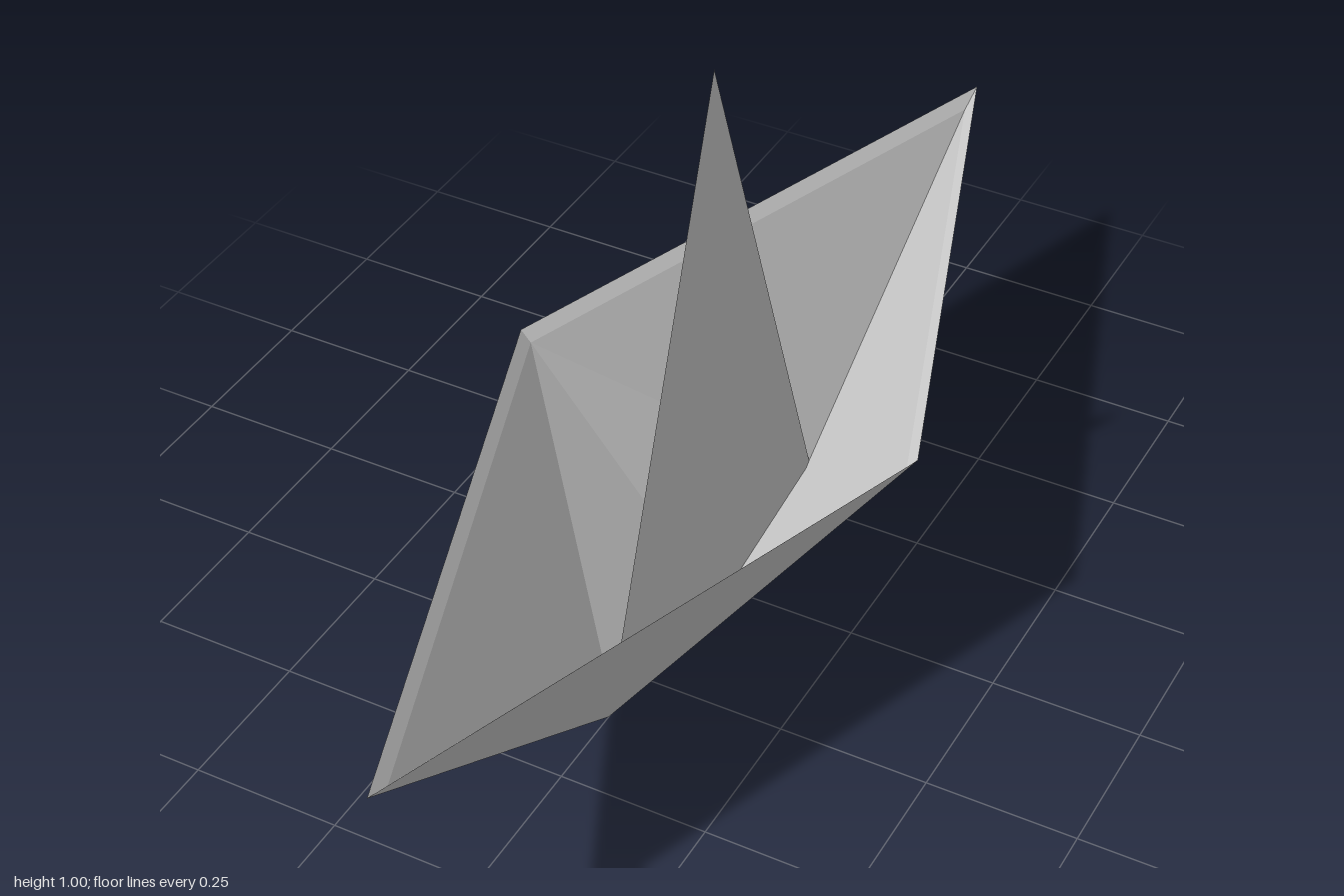
import * as THREE from 'three';

const paper = new THREE.MeshStandardMaterial({ color: 0xcccccc });
paper.name = 'paperGrey';

// Builds a faceted mesh from one quarter (+x, +z), mirrored to the other three.
function mirroredFacets(name, triangles) {
  const positions = [];
  for (const sx of [1, -1]) {
    for (const sz of [1, -1]) {
      for (const [a, b, c] of triangles) {
        const corners = sx * sz > 0 ? [a, b, c] : [a, c, b];
        for (const [x, y, z] of corners) positions.push(x * sx, y, z * sz);
      }
    }
  }
  const geometry = new THREE.BufferGeometry();
  geometry.setAttribute('position', new THREE.Float32BufferAttribute(positions, 3));
  geometry.computeVertexNormals();
  const mesh = new THREE.Mesh(geometry, paper);
  mesh.name = name;
  return mesh;
}

export function createModel() {
  const boat = new THREE.Group();
  boat.name = 'paperBoat';

  // Corners of one quarter of the hull
  const bow = [0, 0.4, 1];
  const side = [0.352, 0.4, 0];
  const keel = [0, 0, 0.352];
  const middle = [0.028, 0, 0];
  const centre = [0, 0, 0];

  // The inside is a slightly smaller copy, its floor just above the bottom
  const inset = ([x, y, z]) => [x * 0.95, Math.max(y * 0.95, 0.003), z * 0.95];
  const [bowIn, sideIn, keelIn, middleIn, centreIn] =
    [bow, side, keel, middle, centre].map(inset);

  // Outer skin: end panel, side gusset, flat bottom
  boat.add(mirroredFacets('hullOutside', [
    [bow, keel, side],
    [keel, middle, side],
    [keel, centre, middle],
  ]));

  // Inner skin faces the opposite way
  boat.add(mirroredFacets('hullInside', [
    [bowIn, sideIn, keelIn],
    [keelIn, sideIn, middleIn],
    [keelIn, middleIn, centreIn],
  ]));

  // Rim joins the two skins
  boat.add(mirroredFacets('rim', [
    [bow, side, sideIn],
    [bow, sideIn, bowIn],
  ]));

  // Thin pointed sail standing on the floor
  boat.add(mirroredFacets('sail', [
    [[0, 0.002, 0.35], [0.026, 0.002, 0], [0, 1, 0]],
  ]));

  return boat;
}
